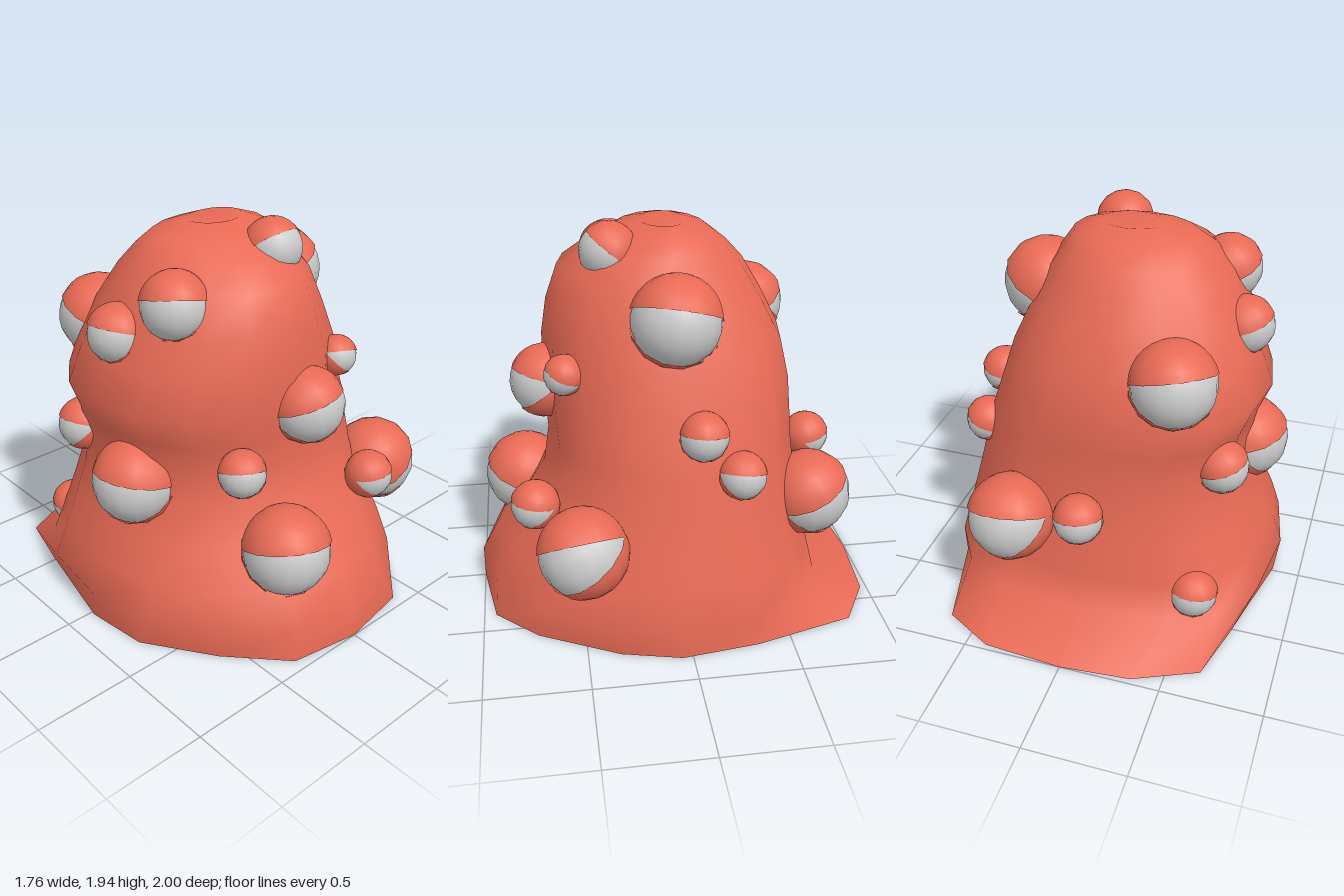
import * as THREE from 'three';

const skin = new THREE.MeshStandardMaterial({ color: 0xe86a55, side: THREE.DoubleSide });
const grey = new THREE.MeshStandardMaterial({ color: 0xcccccc });
const rad = THREE.MathUtils.degToRad;

// Flared hem outline (x, z), from the front round through +x
const HEM = [
  [0, 1], [0.37, 0.94], [0.57, 0.73], [0.77, 0.34], [0.84, 0.05], [0.79, -0.33], [0.65, -0.83], [0.4, -0.97],
  [0, -1], [-0.35, -0.97], [-0.66, -0.83], [-0.74, -0.52], [-0.86, 0.02], [-0.82, 0.34], [-0.6, 0.67], [-0.35, 0.94],
];
const N = HEM.length;

// Body rings: y, min x, max x, back z, front z, front exponent, back exponent (lower = squarer)
const RINGS = [
  [0.17, -0.88, 0.84, -0.74, 1.00, 1.06, 0.72],
  [0.34, -0.83, 0.80, -0.705, 0.91, 1.05, 0.78],
  [0.52, -0.76, 0.75, -0.66, 0.76, 1, 0.8],
  [0.70, -0.69, 0.70, -0.63, 0.65, 0.97, 0.82],
  [0.88, -0.68, 0.66, -0.61, 0.62, 0.95, 0.83],
  [1.02, -0.71, 0.62, -0.61, 0.63, 0.95, 0.85],
  [1.17, -0.77, 0.57, -0.61, 0.63, 0.94, 0.86],
  [1.36, -0.70, 0.51, -0.57, 0.63, 0.96, 0.88],
  [1.54, -0.63, 0.43, -0.48, 0.60, 1, 0.93],
  [1.71, -0.54, 0.35, -0.38, 0.54, 1, 1],
  [1.81, -0.45, 0.28, -0.29, 0.40, 1, 1],
  [1.88, -0.38, 0.23, -0.20, 0.26, 1, 1],
  [1.925, -0.20, 0.10, -0.08, 0.14, 1, 1],
];

// Open-bottomed blob lofted from the hem through the rings, with a shallow dimple at the top
function bodyGeometry() {
  const pos = HEM.flatMap(([x, z]) => [x, 0.01, z]), index = [];
  const pow = (v, p) => Math.sign(v) * Math.abs(v) ** p;
  for (const [y, x0, x1, z0, z1, front, back] of RINGS) {
    for (let j = 0; j < N; j++) {
      const a = (j / N) * Math.PI * 2, s = Math.sin(a), c = Math.cos(a);
      const p = c < 0 ? back : front;
      const zc = (z0 + z1) * 0.25;
      pos.push((x0 + x1) / 2 + pow(s, p) * (x1 - x0) / 2, y,
        zc + pow(c, p) * (c < 0 ? zc - z0 : z1 - zc));
    }
  }
  const last = RINGS.length * N;
  for (let i = 0; i < last; i += N) {
    for (let j = 0; j < N; j++) {
      const a = i + j, b = i + (j + 1) % N;
      index.push(a, b, b + N, a, b + N, a + N);
    }
  }
  pos.push(-0.04, 1.89, 0.04);
  for (let j = 0; j < N; j++) index.push(last + j, last + (j + 1) % N, last + N);
  const g = new THREE.BufferGeometry();
  g.setAttribute('position', new THREE.Float32BufferAttribute(pos, 3));
  g.setIndex(index);
  g.computeVertexNormals();
  return g;
}

// Eyes: x, y, z, radius, upper lid edge, lower lid edge, roll (degrees)
const EYES = [
  [0.07, 1.81, 0.30, 0.14, 45, -28, -10],
  [-0.48, 1.65, 0.25, 0.16, 27, -50, 8],
  [-0.62, 1.48, 0.00, 0.14, 27, -50, 5],
  [0.385, 1.56, 0.02, 0.215, 32, -45, -10],
  [0.00, 1.14, 0.62, 0.18, 25, -45, 10],
  [0.28, 1.28, 0.54, 0.097, 22, -45, -22],
  [0.60, 1.07, -0.08, 0.115, 18, -50, -5],
  [0.63, 0.87, -0.26, 0.113, 23, -48, -12],
  [-0.39, 0.91, 0.60, 0.112, 28, -45, 0],
  [-0.65, 0.77, 0.13, 0.205, 22, -50, 0],
  [-0.24, 0.50, 0.75, 0.213, 27, -55, -4],
  [0.38, 0.65, 0.71, 0.118, 18, -48, 0],
  [0.67, 0.54, 0.50, 0.213, 30, -32, 28],
  [-0.39, 1.37, -0.46, 0.205, 32, -45, -3],
  [0.36, 0.60, -0.66, 0.21, 28, -48, 15],
  [-0.02, 0.73, -0.74, 0.118, 20, -50, 5],
  [-0.61, 0.88, -0.33, 0.13, 22, -50, 12],
  [-0.55, 0.27, -0.57, 0.118, 16, -50, -10],
];

// Cap-shaped lid tilted back so its front edge sits at the given elevation
function lid(name, r, edge) {
  const cap = 82, tilt = Math.abs(edge) + cap - 90;
  const g = new THREE.SphereGeometry(r, 14, 7, 0, Math.PI * 2, 0, rad(cap));
  g.rotateX(rad(edge > 0 ? -tilt : 180 + tilt));
  const mesh = new THREE.Mesh(g, skin);
  mesh.name = name;
  return mesh;
}

function makeEye([x, y, z, r, up, low, roll]) {
  const eye = new THREE.Group();
  eye.name = 'eye';
  const ball = new THREE.Mesh(new THREE.SphereGeometry(r, 16, 12), grey);
  ball.name = 'eyeball';
  eye.add(ball, lid('upperLid', r * 1.035, up), lid('lowerLid', r * 1.035, low));
  eye.position.set(x, y, z);
  eye.rotation.set(0, Math.atan2(x, z), rad(roll), 'YXZ');
  return eye;
}

export function createModel() {
  const model = new THREE.Group();
  model.name = 'manyEyedBlob';
  const body = new THREE.Mesh(bodyGeometry(), skin);
  body.name = 'body';
  model.add(body);
  for (const e of EYES) model.add(makeEye(e));
  return model;
}
